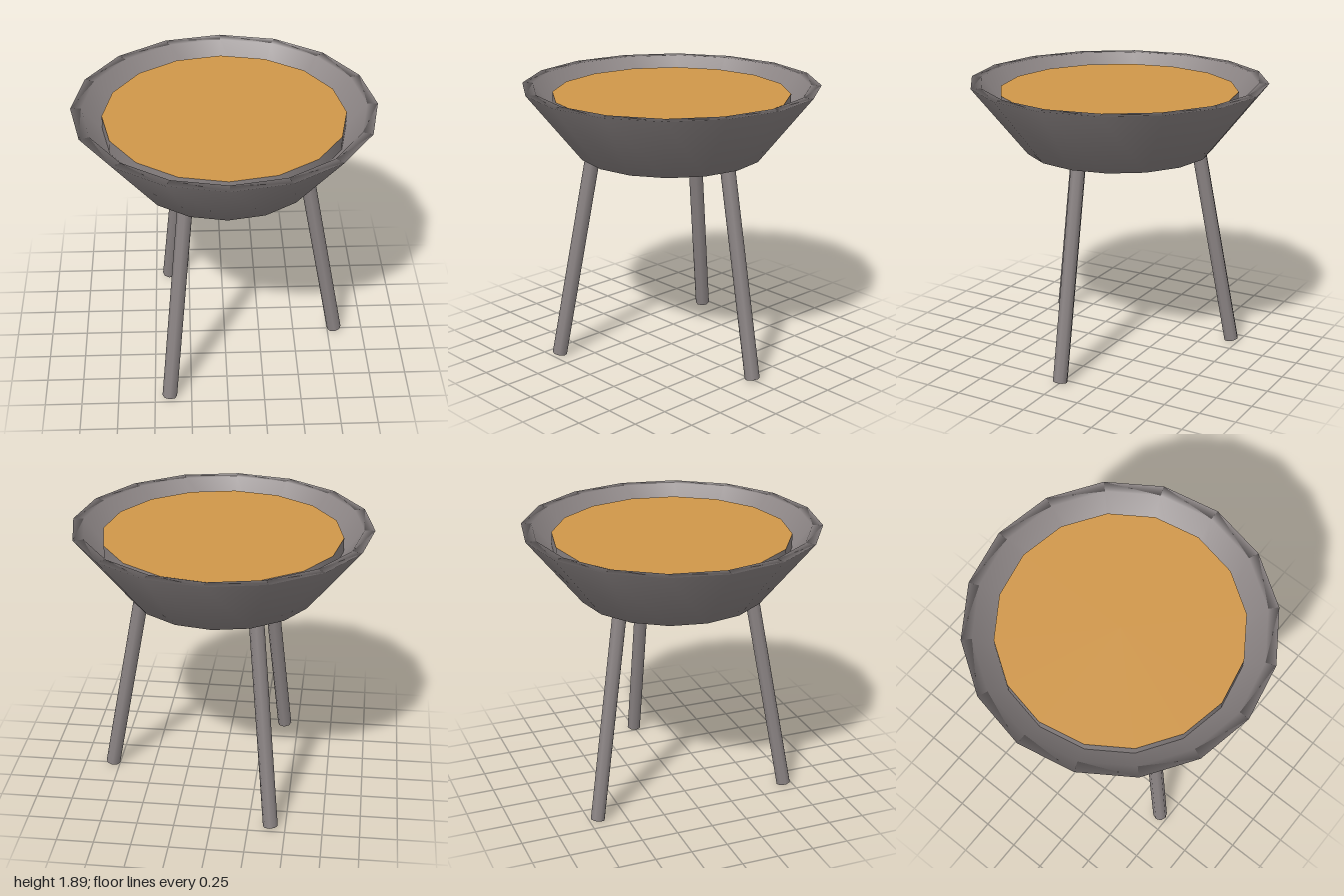
import * as THREE from 'three';

const SIDES = 16;

export function createModel() {
  const model = new THREE.Group();
  model.name = 'tripodBowl';
  const metal = new THREE.MeshStandardMaterial({ color: 0x8b8484 });
  metal.name = 'warm grey metal';
  const filling = new THREE.MeshStandardMaterial({ color: 0xd0974a });
  filling.name = 'amber filling';

  const add = (name, geometry, material) => {
    const mesh = new THREE.Mesh(geometry, material);
    mesh.name = name;
    model.add(mesh);
    return mesh;
  };

  // Bowl: shallow pointed base, flared wall, flat rim and hollow inside
  const profile = [
    [0, 1.355], [0.63, 1.425], [1, 1.89], [0.93, 1.89], [0.59, 1.48], [0, 1.42],
  ].map(([r, y]) => new THREE.Vector2(r, y));
  add('bowl', new THREE.LatheGeometry(profile, SIDES), metal);

  // Filling: a disc held just below the rim on a short grey ring
  const disc = new THREE.CircleGeometry(0.8, SIDES).rotateX(-Math.PI / 2);
  add('filling', disc, filling).position.y = 1.83;
  const ring = new THREE.CylinderGeometry(0.8, 0.8, 0.1, SIDES, 1, true);
  add('fillingRing', ring, metal).position.y = 1.78;

  // Three splayed legs, each square-cut across its own axis
  const up = new THREE.Vector3(0, 1, 0);
  for (let i = 0; i < 3; i++) {
    const angle = (i * Math.PI * 2) / 3;
    const foot = new THREE.Vector3(0.8, 0.009, 0).applyAxisAngle(up, angle);
    const top = new THREE.Vector3(0.535, 1.45, 0).applyAxisAngle(up, angle);
    const axis = top.clone().sub(foot);
    const leg = add(`leg${i + 1}`, new THREE.CylinderGeometry(0.05, 0.05, axis.length(), 8), metal);
    leg.position.copy(foot).add(top).multiplyScalar(0.5);
    leg.quaternion.setFromUnitVectors(up, axis.normalize());
  }
  return model;
}
